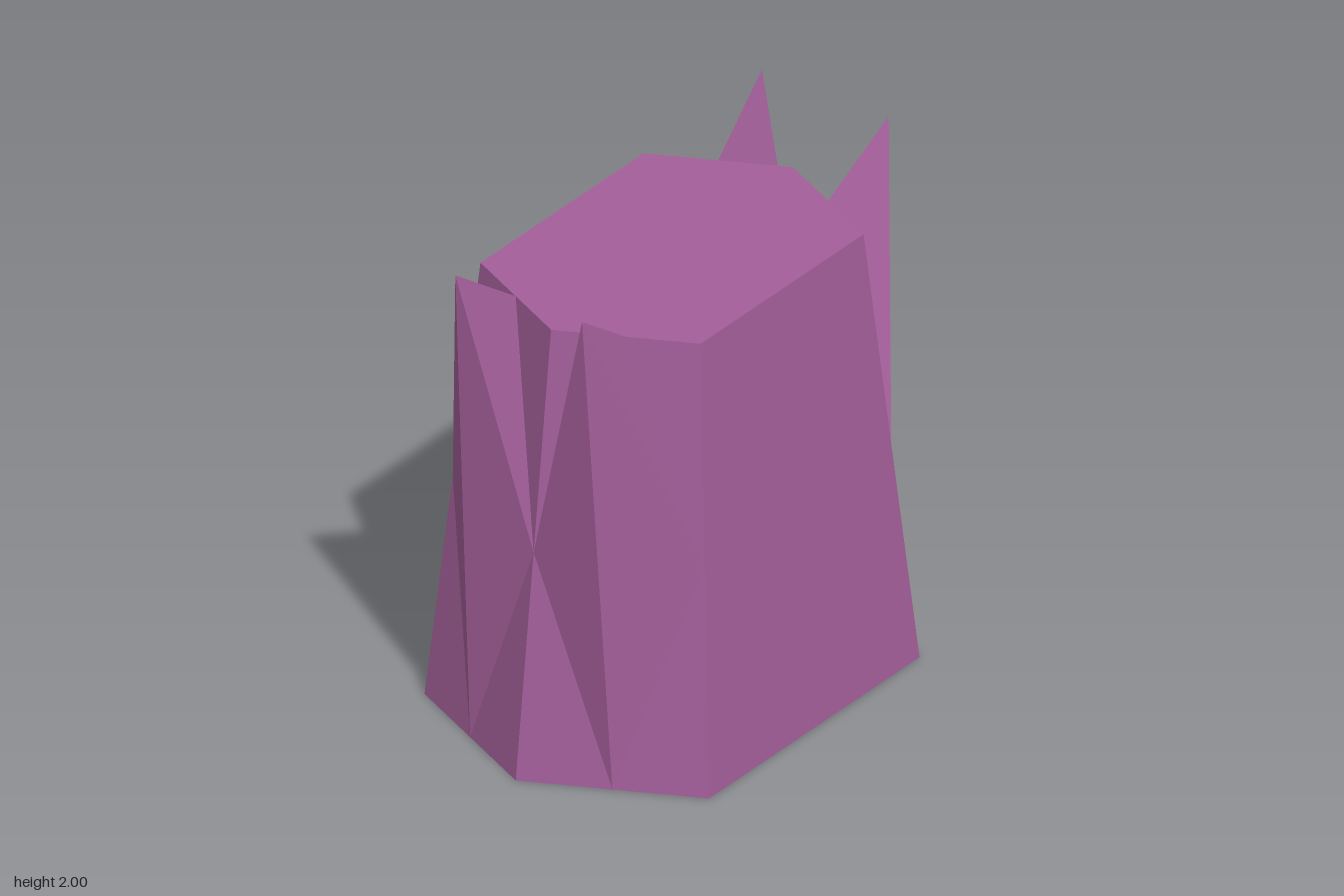
import * as THREE from 'three';

const H = 1.78, TAPER = 0.774;

// Scale of the hexagonal cross-section at height y
const scaleAt = (y) => 1 + (TAPER - 1) * (y / H);
// Points on the tapering edges and slanted end faces of the body
const corner = (y) => [0.64 * scaleAt(y), y, 0.64 * scaleAt(y)];
const ridge = (y) => [0, y, 0.95 * scaleAt(y)];
const middle = (y) => [0.32 * scaleAt(y), y, 0.795 * scaleAt(y)];

// Tapered, elongated hexagonal block
function bodyGeometry() {
  const geo = new THREE.CylinderGeometry(1, 1, H, 6).toNonIndexed();
  geo.translate(0, H / 2, 0);
  const p = geo.attributes.position;
  for (let i = 0; i < p.count; i++) {
    const x = p.getX(i), y = p.getY(i), z = p.getZ(i);
    const s = scaleAt(y);
    const onSide = Math.abs(x) > 0.1, onEnd = Math.abs(z) > 0.1;
    p.setX(i, onSide ? Math.sign(x) * 0.64 * s : 0);
    p.setZ(i, onEnd ? Math.sign(z) * (onSide ? 0.64 : 0.95) * s : 0);
  }
  geo.computeVertexNormals();
  return geo;
}

// Four-faced spike leaning out of one slanted face, mirrored by sx and sz
function spikeGeometry(sx, sz) {
  const bottom = middle(0), top = middle(H);
  const outer = corner(0.9), inner = ridge(0.9);
  const apex = [0.285, 2, 0.932];
  const faces = [
    [bottom, outer, apex], [bottom, apex, inner],
    [apex, outer, top], [inner, apex, top],
  ];
  const positions = [];
  for (const [a, b, c] of faces) {
    const order = sx * sz > 0 ? [a, b, c] : [a, c, b];
    for (const [x, y, z] of order) positions.push(x * sx, y, z * sz);
  }
  const geo = new THREE.BufferGeometry();
  geo.setAttribute('position', new THREE.Float32BufferAttribute(positions, 3));
  geo.computeVertexNormals();
  return geo;
}

export function createModel() {
  const group = new THREE.Group();
  group.name = 'spikedBlock';
  const material = new THREE.MeshStandardMaterial({ color: 0xa45f9a, flatShading: true });

  const add = (name, geometry) => {
    const mesh = new THREE.Mesh(geometry, material);
    mesh.name = name;
    group.add(mesh);
  };

  add('body', bodyGeometry());
  for (const sz of [1, -1]) {
    for (const sx of [1, -1]) {
      add((sz > 0 ? 'front' : 'back') + (sx > 0 ? 'Left' : 'Right') + 'Spike', spikeGeometry(sx, sz));
    }
  }
  return group;
}
